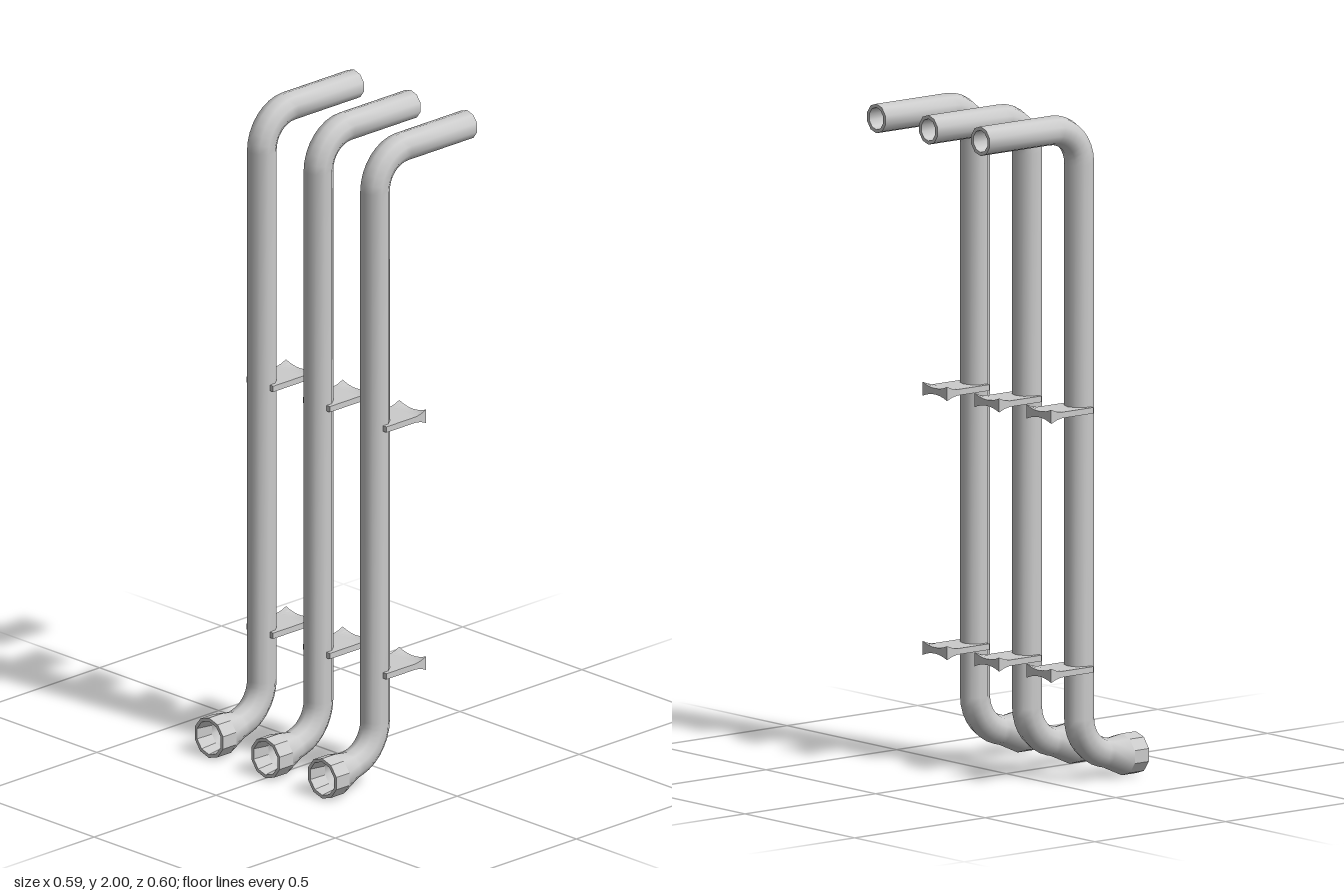
import * as THREE from 'three';

const SIDES = 10;
const R = 0.044, BORE = 0.033, FLARE = 0.0625;
const smooth = new THREE.MeshStandardMaterial({ color: 0xcccccc });
const flat = new THREE.MeshStandardMaterial({ color: 0xcccccc, flatShading: true });
const inside = new THREE.MeshStandardMaterial({ color: 0xcccccc, side: THREE.DoubleSide });

// Centre line in the z-y plane, from the open top end down to the flared outlet: [z, y, outer radius, bore radius]
function pipePath() {
  const path = [[-0.298, 1.956, R, BORE]];
  for (let i = 0; i <= 8; i++) {
    const a = (i / 8) * Math.PI / 2;
    path.push([-0.03 + 0.11 * Math.sin(a), 1.846 + 0.11 * Math.cos(a), R, BORE]);
  }
  for (let i = 0; i <= 7; i++) {
    const a = (i / 7) * Math.PI * 75 / 180;
    path.push([0.195 - 0.115 * Math.cos(a), 0.19 - 0.115 * Math.sin(a), R, BORE]);
  }
  path.push([0.182, 0.0745, R, BORE], [0.243, FLARE, FLARE, 0.045]);
  return path;
}

// Ten-sided tube swept along the path; column picks outer or bore radius
function sweep(path, column) {
  const pos = [], idx = [], last = path.length - 1;
  path.forEach((p, i) => {
    let tz = 1, ty = 0;
    if (i > 0 && i < last) {
      const a = path[i - 1], b = path[i + 1];
      const la = Math.hypot(p[0] - a[0], p[1] - a[1]), lb = Math.hypot(b[0] - p[0], b[1] - p[1]);
      tz = (p[0] - a[0]) / la + (b[0] - p[0]) / lb;
      ty = (p[1] - a[1]) / la + (b[1] - p[1]) / lb;
      const l = Math.hypot(tz, ty);
      tz /= l; ty /= l;
    }
    for (let k = 0; k < SIDES; k++) {
      const a = (k / SIDES) * Math.PI * 2, r = p[column];
      const n = r * Math.cos(a);
      pos.push(r * Math.sin(a), p[1] + n * tz, p[0] - n * ty);
    }
  });
  for (let i = 0; i < last; i++) {
    for (let k = 0; k < SIDES; k++) {
      const a = i * SIDES + k, b = i * SIDES + (k + 1) % SIDES;
      idx.push(a, a + SIDES, b, b, a + SIDES, b + SIDES);
    }
  }
  const g = new THREE.BufferGeometry();
  g.setAttribute('position', new THREE.Float32BufferAttribute(pos, 3));
  g.setIndex(idx);
  g.computeVertexNormals();
  return g;
}

// Faceted collar with a thin rim and a recessed mouth
function collarGeometry() {
  const profile = [[FLARE, 0], [FLARE, 0.054], [0.052, 0.054], [0.045, 0]]
    .map(([r, y]) => new THREE.Vector2(r, y)).reverse();
  const g = new THREE.LatheGeometry(profile.reverse(), SIDES);
  g.rotateX(Math.PI / 2);
  return g;
}

// Wall bracket: thin plate whose wall end thickens towards its two corners
function bracketGeometry() {
  const w = 0.056, zBack = -0.074, zFront = 0.088;
  const g = new THREE.BoxGeometry(2 * w, 2, zFront - zBack, 8, 1, 8);
  g.translate(0, 0, (zFront + zBack) / 2);
  const p = g.attributes.position;
  for (let i = 0; i < p.count; i++) {
    const u = p.getX(i) / w;
    const t = Math.max(0, 1 - (p.getZ(i) - zBack) / 0.03);
    p.setY(i, Math.sign(p.getY(i)) * (0.009 + 0.012 * u * u * t));
  }
  g.computeVertexNormals();
  return g;
}

export function createModel() {
  const model = new THREE.Group();
  model.name = 'pipeSet';
  const path = pipePath();
  const outer = sweep(path, 2), bore = sweep(path, 3);
  const collar = collarGeometry(), bracket = bracketGeometry();
  const rim = new THREE.RingGeometry(BORE, R, SIDES, 1, Math.PI / 2);

  ['right', 'middle', 'left'].forEach((side, i) => {
    const pipe = new THREE.Group();
    pipe.name = side + 'Pipe';
    pipe.position.x = (i - 1) * 0.2375;
    const add = (name, geometry, material, y = 0, z = 0) => {
      const m = new THREE.Mesh(geometry, material);
      m.name = name;
      m.position.set(0, y, z);
      pipe.add(m);
    };
    add('pipeWall', outer, smooth);
    add('pipeBore', bore, inside);
    add('topEndRim', rim, inside, 1.956, -0.298);
    const mouth = flat.clone();
    mouth.side = THREE.DoubleSide;
    add('outletCollar', collar, mouth, FLARE, 0.243);
    add('upperBracket', bracket, flat, 1.115);
    add('lowerBracket', bracket, flat, 0.342);
    model.add(pipe);
  });
  return model;
}
